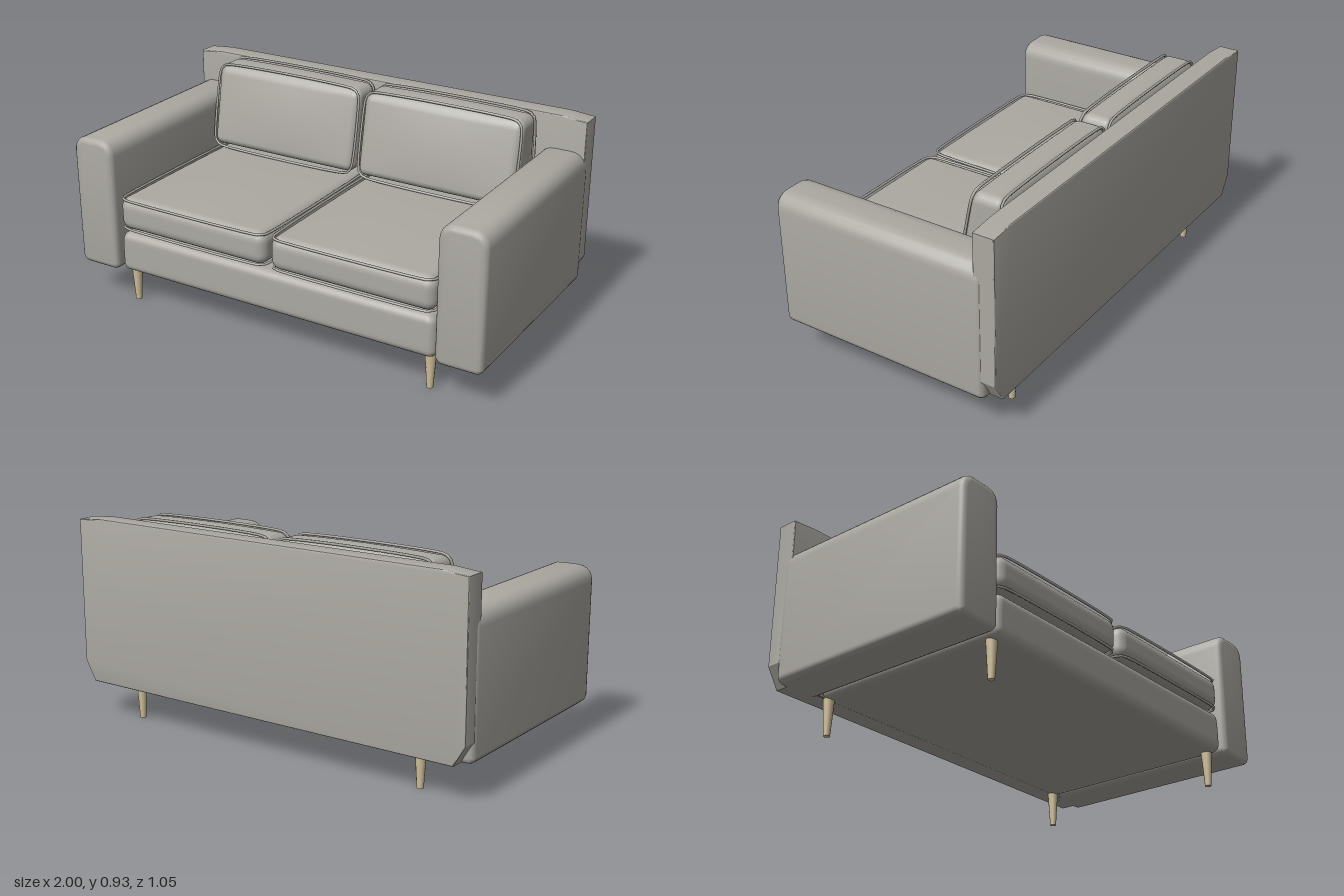
import * as THREE from 'three';
import { mergeVertices, toCreasedNormals } from 'three/addons/utils/BufferGeometryUtils.js';

const fabric = new THREE.MeshStandardMaterial({ color: 0xaca9a2 });
fabric.name = 'warm grey fabric';
const wood = new THREE.MeshStandardMaterial({ color: 0xd0c09c });
wood.name = 'pale wood';

function add(parent, name, geometry, material, x = 0, y = 0, z = 0) {
  const mesh = new THREE.Mesh(geometry, material);
  mesh.name = name;
  mesh.position.set(x, y, z);
  parent.add(mesh);
  return mesh;
}

// Box with rounded edges; warp(p, u) may move each point, u being its place from -1 to 1
function softBox(w, h, d, r, warp) {
  const n = 12, edge = 3;
  const half = [w / 2, h / 2, d / 2];
  let g = new THREE.BoxGeometry(2, 2, 2, n, n, n);
  g.deleteAttribute('uv');
  g.deleteAttribute('normal');
  g = mergeVertices(g);
  const pos = g.attributes.position;
  const p = new THREE.Vector3(), inner = new THREE.Vector3(), u = new THREE.Vector3();
  for (let i = 0; i < pos.count; i++) {
    p.fromBufferAttribute(pos, i);
    for (let a = 0; a < 3; a++) {
      const c = p.getComponent(a), k = Math.abs(c) * n / 2, flat = n / 2 - edge;
      const core = half[a] - r;
      const v = k <= flat ? core * k / flat : core + r * Math.tan((k - flat) / edge * Math.PI / 4);
      p.setComponent(a, Math.sign(c) * v);
      inner.setComponent(a, Math.sign(c) * Math.min(v, core));
    }
    p.sub(inner).normalize().multiplyScalar(r);
    if (p.lengthSq() === 0) p.set(0, 0, 0);
    p.add(inner);
    u.set(p.x / half[0], p.y / half[1], p.z / half[2]);
    if (warp) warp(p, u);
    pos.setXYZ(i, p.x, p.y, p.z);
  }
  g.computeVertexNormals();
  return g;
}

// Closed piping along a rounded rectangle, placed in space by map(a, b)
function piping(w, h, r, map) {
  const pts = [];
  const corners = [[1, 1], [-1, 1], [-1, -1], [1, -1]];
  corners.forEach(([sx, sy], i) => {
    for (let k = 0; k <= 3; k++) {
      const t = (i + k / 3) * Math.PI / 2;
      pts.push(map(sx * (w / 2 - r) + r * Math.cos(t), sy * (h / 2 - r) + r * Math.sin(t)));
    }
  });
  return new THREE.TubeGeometry(new THREE.CatmullRomCurve3(pts, true), 96, 0.006, 6, true);
}

// Upright profile extruded along z with soft ends
function bevelled(shape, length, bevel, crease) {
  const g = new THREE.ExtrudeGeometry(shape, {
    depth: length - 2 * bevel, bevelSize: bevel, bevelThickness: bevel, bevelSegments: 3, curveSegments: 5,
  });
  g.translate(0, 0, bevel - length / 2);
  return toCreasedNormals(g, crease);
}

export function createModel() {
  const sofa = new THREE.Group();
  sofa.name = 'sofa';

  // Back panel with clipped lower corners
  const panel = new THREE.Shape();
  [[-0.94, 0.165], [0.94, 0.165], [0.99, 0.25], [0.99, 0.895], [0.88, 0.905], [-0.88, 0.905], [-0.99, 0.895], [-0.99, 0.25]]
    .forEach(([x, y], i) => (i ? panel.lineTo(x, y) : panel.moveTo(x, y)));
  panel.closePath();
  add(sofa, 'backPanel', bevelled(panel, 0.097, 0.006, 0.5), fabric, 0, 0, -0.4785);

  // Seat base
  add(sofa, 'seatBase', softBox(1.565, 0.188, 0.96, 0.035, (p, u) => {
    if (u.y > 0) p.x *= 1 - 0.012 * u.y * u.y;
  }), fabric, 0, 0.25, 0.028);

  // Arm profile: fully rounded top, tight lower corners
  const arm = new THREE.Shape();
  const a = 0.08, top = 0.735, low = 0.18, rt = 0.045, rb = 0.01;
  arm.moveTo(-a + rb, low);
  arm.lineTo(a - rb, low);
  arm.quadraticCurveTo(a, low, a, low + rb);
  arm.lineTo(a, top - rt);
  arm.quadraticCurveTo(a, top, a - rt, top);
  arm.lineTo(-a + rt, top);
  arm.quadraticCurveTo(-a, top, -a, top - rt);
  arm.lineTo(-a, low + rb);
  arm.quadraticCurveTo(-a, low, -a + rb, low);
  const armGeometry = bevelled(arm, 0.995, 0.025, 0.7);

  // Seat cushion, crowned above and swollen at the sides
  const seatGeometry = softBox(0.765, 0.15, 0.925, 0.045, (p, u) => {
    p.y += 0.014 * Math.sign(u.y) * (u.y > 0 ? 1 : 0) * (1 - u.x * u.x) * (1 - u.z * u.z);
  });
  const seatPiping = y => piping(0.755, 0.915, 0.04, (x, z) => new THREE.Vector3(x, y, -z));

  // Back cushion, deeper towards its foot and swollen in front
  const lean = (y, f) => -0.2 * y * f;
  const backGeometry = softBox(0.765, 0.375, 0.18, 0.04, (p, u) => {
    const swell = (1 - u.x * u.x) * (1 - u.y * u.y);
    const f = (u.z + 1) / 2;
    p.z += lean(p.y, f) + 0.015 * f * swell;
    if (u.y > 0) p.y += 0.012 * u.y * (1 - u.x * u.x) * (1 - u.z * u.z);
  });
  const backPiping = (z, f) => piping(0.755, 0.382, 0.045, (x, y) => new THREE.Vector3(x, y, z + lean(y, f)));

  for (const [side, s] of [['left', 1], ['right', -1]]) {
    add(sofa, side + 'Arm', armGeometry, fabric, s * 0.895, 0, 0.0275);

    const seat = new THREE.Group();
    seat.name = side + 'SeatCushion';
    seat.position.set(s * 0.394, 0.435, 0.05);
    add(seat, 'seatPad', seatGeometry, fabric);
    add(seat, 'upperSeatPiping', seatPiping(0.068), fabric);
    add(seat, 'lowerSeatPiping', seatPiping(-0.068), fabric);
    sofa.add(seat);

    const back = new THREE.Group();
    back.name = side + 'BackCushion';
    back.position.set(s * 0.394, 0.722, -0.322);
    add(back, 'backPad', backGeometry, fabric);
    add(back, 'frontBackPiping', backPiping(0.082, 0.95), fabric);
    add(back, 'rearBackPiping', backPiping(-0.082, 0.05), fabric);
    sofa.add(back);

    // Tapered legs
    for (const [end, z] of [['Front', 0.45], ['Back', -0.43]]) {
      add(sofa, side + end + 'Leg', new THREE.CylinderGeometry(0.025, 0.014, 0.17, 12), wood, s * 0.743, 0.085, z);
    }
  }
  return sofa;
}
